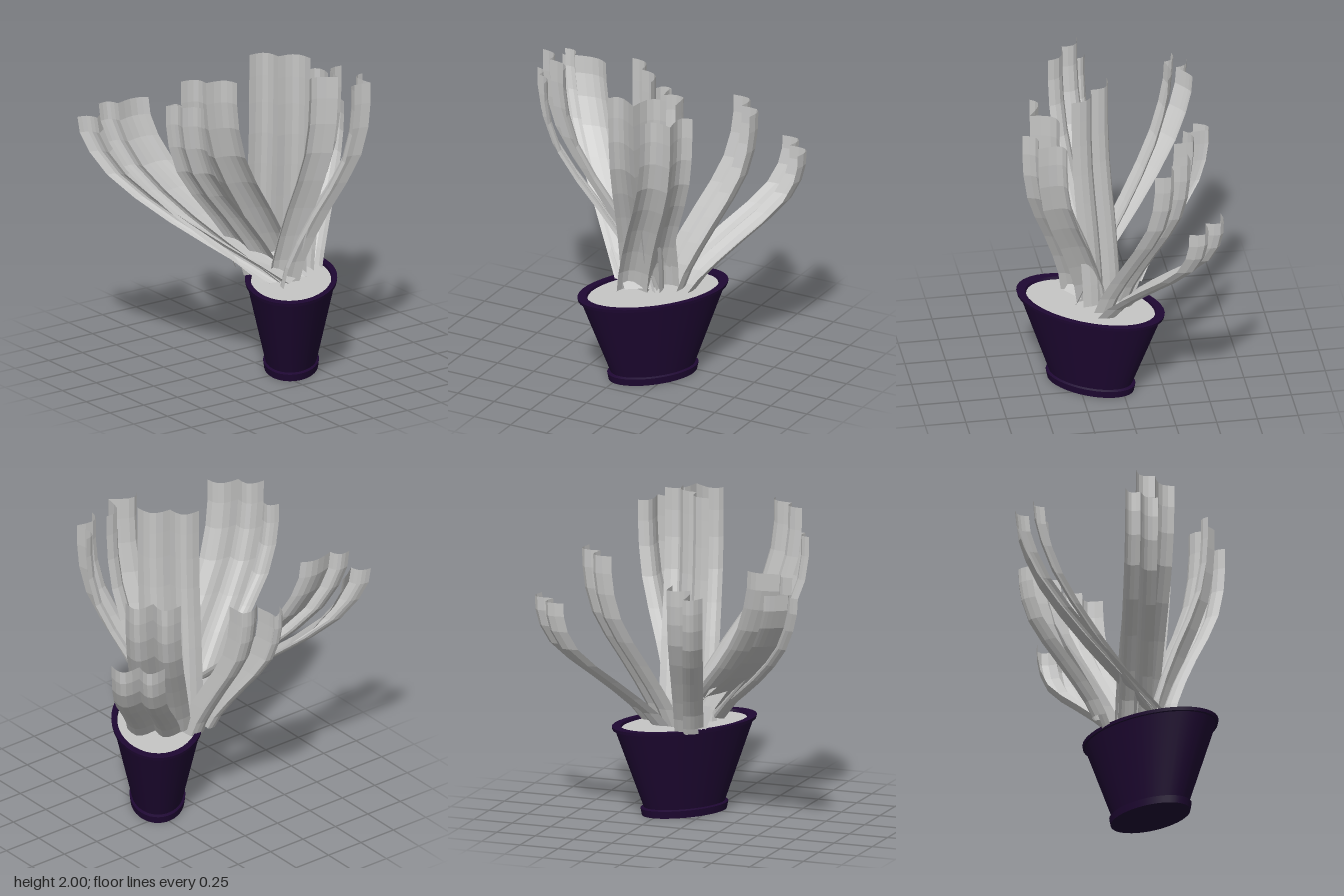
import * as THREE from 'three';

const potColor = new THREE.MeshStandardMaterial({ color: 0x1e0732, side: THREE.DoubleSide });
potColor.name = 'dark purple';
const paleColor = new THREE.MeshStandardMaterial({ color: 0xc6c6c5, side: THREE.DoubleSide, flatShading: true });
paleColor.name = 'pale grey';

// [share of height, sideways share of an arched leaf, sideways share of an S-shaped leaf]
const bend = [
  [0, 0, 0], [0.1, 0.16, 0.07], [0.22, 0.35, 0.22], [0.36, 0.55, 0.43], [0.5, 0.71, 0.67],
  [0.64, 0.84, 0.87], [0.78, 0.93, 0.97], [0.9, 0.985, 1], [1, 1, 1],
];

// Horizontal cross-section: two rounded flutes between three cusps [x, z]
function fluteSection(cusps, bulge) {
  const pts = [];
  const steps = 5;
  for (let i = 0; i < cusps.length - 1; i++) {
    for (let k = i ? 1 : 0; k <= steps; k++) {
      const u = k / steps;
      const b = Math.sin(Math.PI * u);
      pts.push([
        cusps[i][0] + (cusps[i + 1][0] - cusps[i][0]) * u + bulge[0] * b,
        cusps[i][1] + (cusps[i + 1][1] - cusps[i][1]) * u + bulge[1] * b,
      ]);
    }
  }
  return pts;
}

// Fluted leaf: the section at the tip slides down a bent path to the base
function leaf({ name, base, top, sway, cusps, bulge }) {
  const section = fluteSection(cusps, bulge);
  const [cx, cz] = cusps[1];
  const positions = [], index = [];
  const n = section.length;
  bend.forEach(([t, arch, ess], row) => {
    const back = 1 - THREE.MathUtils.lerp(arch, ess, sway);
    for (const [x, z] of section) {
      positions.push(
        x + (base[0] - cx) * back,
        base[1] + (top - base[1]) * t,
        z + (base[2] - cz) * back);
    }
    if (row === 0) return;
    for (let i = 0; i < n - 1; i++) {
      const a = (row - 1) * n + i, b = a + n;
      index.push(a, a + 1, b, a + 1, b + 1, b);
    }
  });
  const geo = new THREE.BufferGeometry();
  geo.setAttribute('position', new THREE.Float32BufferAttribute(positions, 3));
  geo.setIndex(index);
  geo.computeVertexNormals();
  const mesh = new THREE.Mesh(geo, paleColor);
  mesh.name = name;
  return mesh;
}

const leaves = [
  { name: 'backLeafLow', base: [0.05, 0.58, -0.26], top: 1.41, sway: 0.7,
    cusps: [[-0.31, -0.88], [-0.43, -0.76], [-0.54, -0.65]], bulge: [-0.05, -0.06] },
  { name: 'backLeafHigh', base: [0.06, 0.58, -0.19], top: 1.69, sway: 0.7,
    cusps: [[-0.14, -0.64], [-0.26, -0.52], [-0.38, -0.4]], bulge: [-0.05, -0.06] },
  { name: 'leftLeafLow', base: [-0.16, 0.6, -0.02], top: 1.52, sway: 0.7,
    cusps: [[-0.45, 0.14], [-0.6, 0.15], [-0.52, 0.25]], bulge: [-0.04, 0.01] },
  { name: 'leftLeafHigh', base: [-0.1, 0.55, -0.1], top: 1.54, sway: 0.7,
    cusps: [[-0.36, -0.01], [-0.48, 0.0], [-0.44, 0.14]], bulge: [-0.03, 0] },
  { name: 'frontLeftLeafLow', base: [0.32, 0.59, -0.03], top: 1.59, sway: 0.2,
    cusps: [[-0.59, 0.9], [-0.51, 0.81], [-0.59, 0.68]], bulge: [-0.02, -0.02] },
  { name: 'frontLeftLeafHigh', base: [0.27, 0.59, 0.0], top: 1.69, sway: 0.2,
    cusps: [[-0.48, 0.82], [-0.42, 0.72], [-0.41, 0.5]], bulge: [-0.03, -0.02] },
  { name: 'frontLeafLow', base: [0.08, 0.57, 0.0], top: 1.81, sway: 0.8,
    cusps: [[0.07, 0.71], [0.16, 0.65], [0.26, 0.56]], bulge: [-0.02, -0.03] },
  { name: 'frontLeafHigh', base: [0.1, 0.57, -0.04], top: 1.97, sway: 0.8,
    cusps: [[0.13, 0.64], [0.24, 0.53], [0.35, 0.38]], bulge: [-0.03, -0.04] },
  { name: 'rightLeafLow', base: [0.26, 0.57, -0.15], top: 1.86, sway: 1,
    cusps: [[0.38, -0.53], [0.55, -0.47], [0.62, -0.3]], bulge: [-0.05, 0.04] },
  { name: 'rightLeafHigh', base: [0.25, 0.57, -0.14], top: 1.95, sway: 1,
    cusps: [[0.4, -0.36], [0.56, -0.22], [0.53, -0.03]], bulge: [-0.06, 0.03] },
  { name: 'centreLeaf', base: [0.09, 0.57, -0.08], top: 2, sway: 1,
    cusps: [[0.04, 0.07], [0.16, -0.06], [0.3, -0.2]], bulge: [-0.04, -0.04] },
];

export function createModel() {
  const model = new THREE.Group();

  // Oval pot with a foot, flared wall and lip, turned about its axis
  const pot = new THREE.Group();
  pot.name = 'pot';
  pot.position.set(0.175, 0, -0.145);
  pot.rotation.y = -THREE.MathUtils.degToRad(37);
  pot.scale.set(0.487, 1, 0.28);
  // Each band is its own lathe, so edges between them stay sharp
  const bands = [
    ['potBottom', [[0, 0], [0.585, 0]]],
    ['potFoot', [[0.585, 0], [0.605, 0.045]]],
    ['footLedge', [[0.605, 0.045], [0.56, 0.052]]],
    ['potWall', [[0.56, 0.05], [0.955, 0.545]]],
    ['lipUnderside', [[0.955, 0.545], [0.99, 0.547]]],
    ['lipEdge', [[0.99, 0.547], [1, 0.567]]],
    ['lipTop', [[1, 0.567], [0.88, 0.567]]],
    ['lipInside', [[0.88, 0.567], [0.86, 0.54]]],
  ];
  for (const [name, pts] of bands) {
    const mesh = new THREE.Mesh(
      new THREE.LatheGeometry(pts.map(([r, y]) => new THREE.Vector2(r, y)), 40), potColor);
    mesh.name = name;
    pot.add(mesh);
  }
  const soil = new THREE.Mesh(new THREE.CircleGeometry(0.87, 40), paleColor);
  soil.name = 'soil';
  soil.rotation.x = -Math.PI / 2;
  soil.position.y = 0.55;
  pot.add(soil);
  model.add(pot);

  // Spray of fluted leaves
  const plant = new THREE.Group();
  plant.name = 'leaves';
  for (const spec of leaves) plant.add(leaf(spec));
  model.add(plant);
  return model;
}
